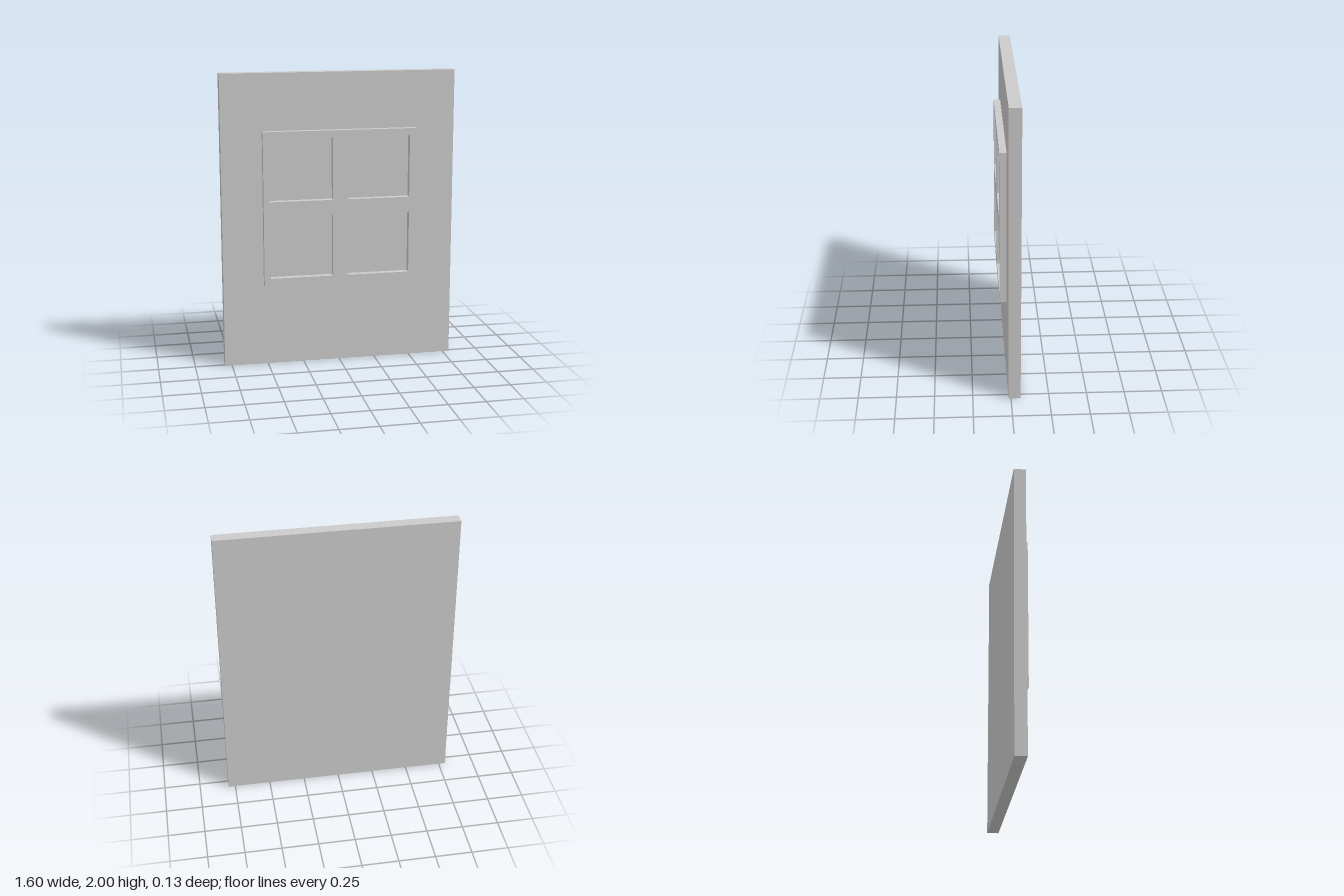
import * as THREE from 'three';

const BACK = -0.063, FACE = 0.017, FRONT = 0.063;

// Rectangle outline between two corners
function rect(Type, x0, y0, x1, y1) {
  const r = new Type();
  r.moveTo(x0, y0);
  r.lineTo(x1, y0);
  r.lineTo(x1, y1);
  r.lineTo(x0, y1);
  r.closePath();
  return r;
}

export function createModel() {
  const model = new THREE.Group();
  model.name = 'windowPanel';
  const material = new THREE.MeshStandardMaterial({ color: 0xcccccc, flatShading: true });

  // Flat wall slab
  const wall = new THREE.Mesh(new THREE.BoxGeometry(1.595, 2, FACE - BACK), material);
  wall.name = 'wall';
  wall.position.set(0, 1, (BACK + FACE) / 2);
  model.add(wall);

  // Raised window frame with four square openings
  const outline = rect(THREE.Shape, -0.522, 0.567, 0.522, 1.615);
  for (const x of [-0.48, 0.05]) {
    for (const [y0, y1] of [[0.614, 1.038], [1.143, 1.567]]) {
      outline.holes.push(rect(THREE.Path, x, y0, x + 0.43, y1));
    }
  }
  const frame = new THREE.Mesh(
    new THREE.ExtrudeGeometry(outline, { depth: FRONT - FACE, bevelEnabled: false }),
    material
  );
  frame.name = 'windowFrame';
  frame.position.z = FACE;
  model.add(frame);

  return model;
}
